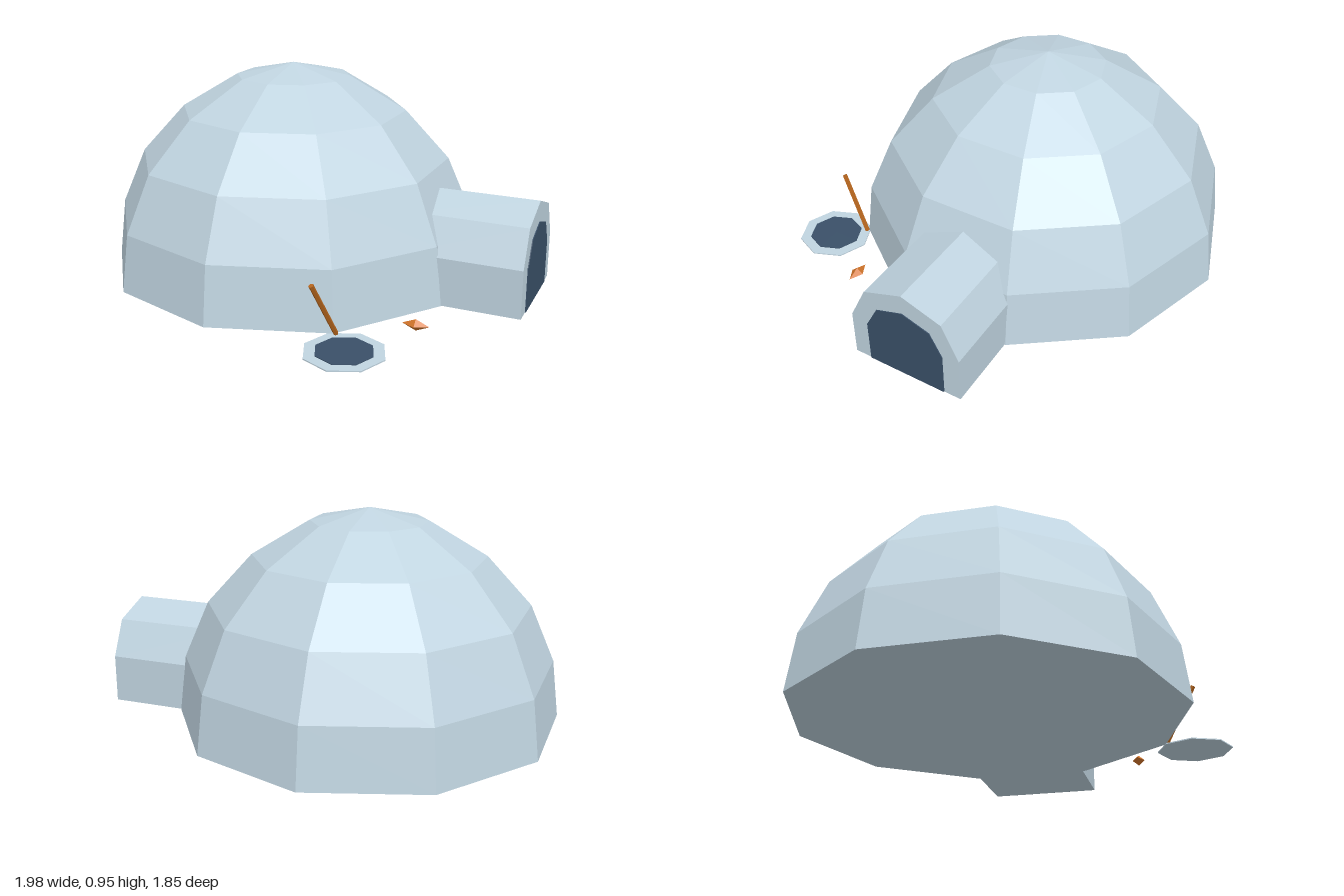
import * as THREE from 'three';

export function createModel() {
  const group = new THREE.Group();
  const material = (name, color) => {
    const m = new THREE.MeshStandardMaterial({ color, flatShading: true });
    m.name = name;
    return m;
  };
  const ice = material('ice', 0xc0d4e0);
  const dark = material('dark water', 0x3a5068);
  const wood = material('wood', 0xb5651d);
  const orange = material('orange', 0xd2752a);

  const add = (name, geometry, mat, x = 0, y = 0, z = 0) => {
    const mesh = new THREE.Mesh(geometry, mat);
    mesh.name = name;
    mesh.position.set(x, y, z);
    group.add(mesh);
    return mesh;
  };
  const centreZ = -0.065;

  // Ten-sided dome with a closed floor
  const profile = [[0, 0.005], [0.86, 0.005], [0.828, 0.265], [0.717, 0.522], [0.517, 0.742], [0.26, 0.897], [0, 0.955]]
    .map(([r, y]) => new THREE.Vector2(r, y));
  add('dome', new THREE.LatheGeometry(profile, 10), ice, -0.18, 0, centreZ);

  // Arched prism along +x, mirrored from half of its outline
  const arch = (half, top, depth) => {
    const right = half.map(([x, y]) => new THREE.Vector2(x, y));
    const left = half.map(([x, y]) => new THREE.Vector2(-x, y)).reverse();
    const shape = new THREE.Shape([...right, new THREE.Vector2(0, top), ...left]);
    return new THREE.ExtrudeGeometry(shape, { depth, bevelEnabled: false }).rotateY(Math.PI / 2);
  };
  add('entranceTunnel', arch([[0.261, 0.005], [0.261, 0.22], [0.184, 0.38]], 0.445, 0.53), ice, 0.45, 0, centreZ);
  add('doorway', arch([[0.183, 0.006], [0.183, 0.205], [0.127, 0.31]], 0.352, 0.006), dark, 0.978, 0, centreZ);

  // Fishing hole: ice rim with water on top
  add('holeRim', new THREE.CylinderGeometry(0.17, 0.17, 0.005, 8), ice, 0.425, 0.0025, 0.755);
  add('holeWater', new THREE.CylinderGeometry(0.122, 0.122, 0.005, 8), dark, 0.425, 0.0055, 0.755);

  // Leaning rod
  const foot = new THREE.Vector3(0.338, 0.008, 0.632);
  const tip = new THREE.Vector3(0.294, 0.263, 0.775);
  const along = tip.clone().sub(foot);
  const rod = add('fishingRod', new THREE.CylinderGeometry(0.011, 0.011, along.length(), 5), wood);
  rod.position.copy(foot).add(tip).multiplyScalar(0.5);
  rod.quaternion.setFromUnitVectors(new THREE.Vector3(0, 1, 0), along.normalize());

  // Fish lying on the ground
  add('fish', new THREE.OctahedronGeometry(1).scale(0.058, 0.025, 0.029), orange, 0.618, 0.032, 0.473);

  return group;
}
